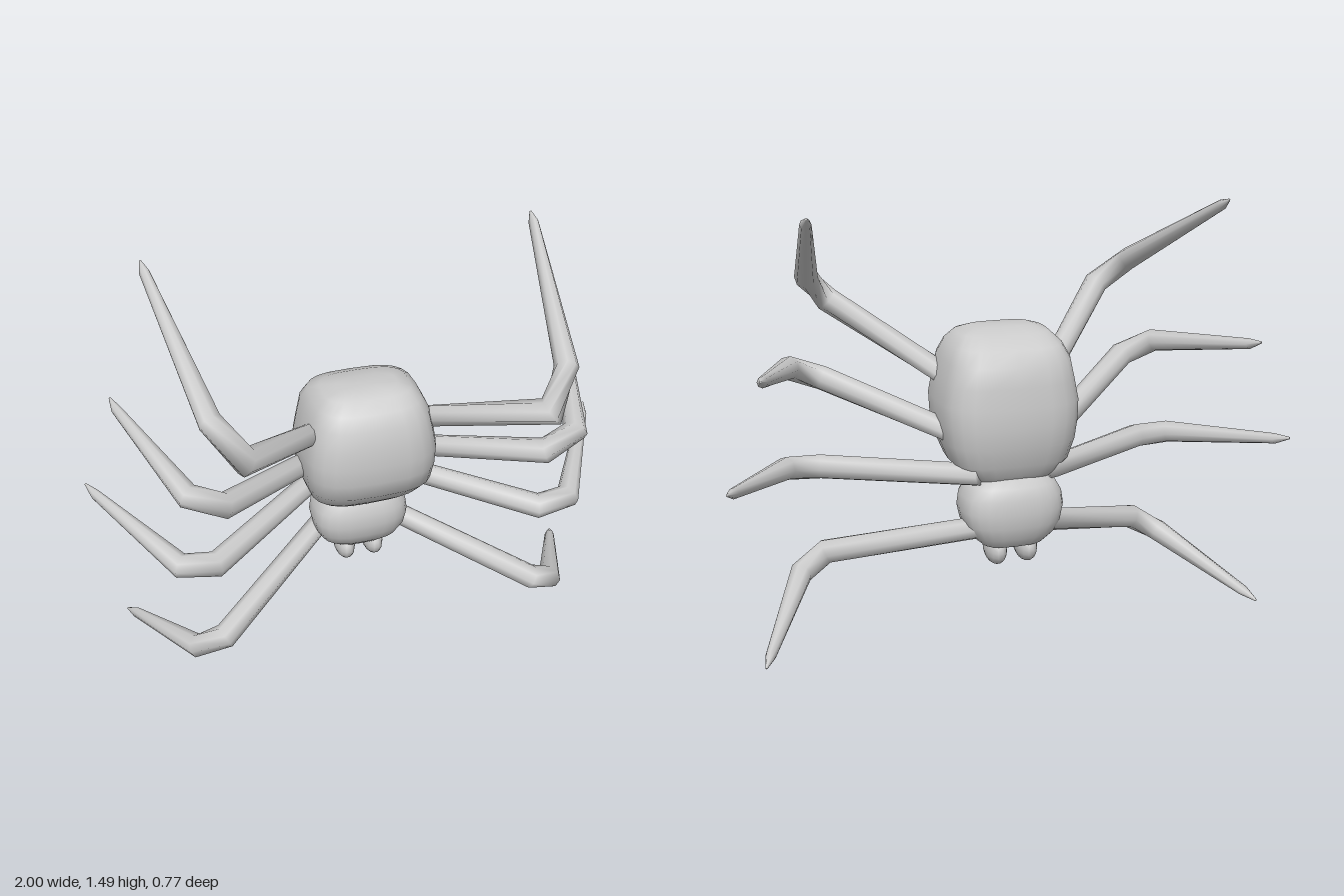
import * as THREE from 'three';

const material = new THREE.MeshStandardMaterial({ color: 0xcccccc });

// Skin a list of closed rings (arrays of Vector3); both ends are closed with a centre point
function skin(name, rings) {
  const n = rings[0].length, pos = [], idx = [];
  rings.forEach(r => r.forEach(p => pos.push(p.x, p.y, p.z)));
  for (let i = 0; i < rings.length - 1; i++) {
    for (let j = 0; j < n; j++) {
      const k = (j + 1) % n;
      const a = i * n + j, b = i * n + k, c = a + n, d = b + n;
      idx.push(a, b, d, a, d, c);
    }
  }
  const last = (rings.length - 1) * n;
  [0, last].forEach(start => {
    const ring = rings[start / n];
    const mid = ring.reduce((s, p) => s.add(p), new THREE.Vector3()).divideScalar(n);
    const m = pos.length / 3;
    pos.push(mid.x, mid.y, mid.z);
    for (let j = 0; j < n; j++) {
      const a = start + j, b = start + (j + 1) % n;
      if (start === 0) idx.push(m, b, a);
      else idx.push(m, a, b);
    }
  });
  const g = new THREE.BufferGeometry();
  g.setAttribute('position', new THREE.Float32BufferAttribute(pos, 3));
  g.setIndex(idx);
  g.computeVertexNormals();
  const mesh = new THREE.Mesh(g, material);
  mesh.name = name;
  return mesh;
}

// Rounded-box body; each row is [y, half width, front z, back z], listed upwards
function body(name, rows, power) {
  const n = 24;
  const round = v => Math.sign(v) * Math.pow(Math.abs(v), 2 / power);
  return skin(name, rows.map(([y, w, front, back]) => {
    const ring = [];
    for (let j = 0; j < n; j++) {
      const t = (j / n) * Math.PI * 2;
      ring.push(new THREE.Vector3(w * round(Math.cos(t)), y,
        (front + back) / 2 - ((front - back) / 2) * round(Math.sin(t))));
    }
    return ring;
  }));
}

// Jointed leg: rings are mitred at the knees and taper to a point
function leg(name, joints, radii, side) {
  const n = 8;
  const pts = joints.map(([x, y, z]) => new THREE.Vector3(x * side, y, z));
  const dirs = pts.slice(1).map((p, i) => p.clone().sub(pts[i]).normalize());
  return skin(name, pts.map((p, i) => {
    const before = dirs[Math.max(i - 1, 0)], after = dirs[Math.min(i, dirs.length - 1)];
    const w = before.clone().add(after).normalize();
    const u = new THREE.Vector3(0, 1, 0).addScaledVector(w, -w.y).normalize();
    const v = w.clone().cross(u);
    const bend = after.clone().sub(before).normalize();
    const stretch = 1 / Math.max(w.dot(after), 0.6) - 1;
    const ring = [];
    for (let j = 0; j < n; j++) {
      const t = (j / n) * Math.PI * 2;
      const o = u.clone().multiplyScalar(Math.cos(t) * radii[i])
        .addScaledVector(v, Math.sin(t) * radii[i]);
      o.addScaledVector(bend, o.dot(bend) * stretch);
      ring.push(o.add(p));
    }
    return ring;
  }));
}

export function createModel() {
  const model = new THREE.Group();
  model.name = 'spider';

  // Large abdomen above, small head section below
  model.add(body('abdomen', [
    [0.53, 0.13, -0.09, -0.29],
    [0.56, 0.175, -0.05, -0.31],
    [0.6, 0.21, 0.0, -0.33],
    [0.67, 0.235, 0.07, -0.35],
    [0.74, 0.245, 0.09, -0.357],
    [0.81, 0.248, 0.095, -0.355],
    [0.88, 0.235, 0.09, -0.345],
    [0.95, 0.22, 0.075, -0.335],
    [1.0, 0.195, 0.045, -0.295],
    [1.035, 0.16, 0.0, -0.22],
    [1.05, 0.11, -0.04, -0.15],
  ], 3.3));
  model.add(body('head', [
    [0.285, 0.06, -0.18, -0.27],
    [0.3, 0.11, -0.155, -0.305],
    [0.335, 0.15, -0.115, -0.33],
    [0.38, 0.175, -0.09, -0.345],
    [0.43, 0.185, -0.08, -0.35],
    [0.48, 0.178, -0.083, -0.345],
    [0.52, 0.155, -0.1, -0.33],
    [0.55, 0.12, -0.12, -0.3],
  ], 2.8));

  // Four pairs of legs: root, two knee rings, tip collar and point
  const legs = [
    ['upperLeg', [[0.17, 0.865, -0.12], [0.525, 1.085, 0.325], [0.615, 1.19, 0.225],
      [0.708, 1.465, -0.34], [0.713, 1.488, -0.385]]],
    ['upperMiddleLeg', [[0.17, 0.69, -0.21], [0.58, 0.83, 0.185], [0.7, 0.88, 0.165],
      [0.858, 0.965, -0.31], [0.872, 0.982, -0.368]]],
    ['lowerMiddleLeg', [[0.13, 0.57, -0.28], [0.61, 0.525, 0.1], [0.735, 0.535, 0.085],
      [0.97, 0.61, -0.33], [0.997, 0.625, -0.385]]],
    ['lowerLeg', [[0.13, 0.37, -0.26], [0.6, 0.195, 0.105], [0.7, 0.14, 0.065],
      [0.875, 0.027, -0.33], [0.9, 0.008, -0.385]]],
  ];
  const radii = [0.04, 0.045, 0.042, 0.019, 0.004];
  for (const [side, label] of [[1, 'left'], [-1, 'right']]) {
    for (const [name, joints] of legs) {
      model.add(leg(`${label} ${name}`, joints, radii, side));
    }
    // Fang under the head
    const fang = new THREE.Mesh(new THREE.SphereGeometry(1, 14, 10), material);
    fang.name = `${label} fang`;
    fang.scale.set(0.039, 0.058, 0.075);
    fang.position.set(0.056 * side, 0.272, -0.22);
    model.add(fang);
  }
  return model;
}
